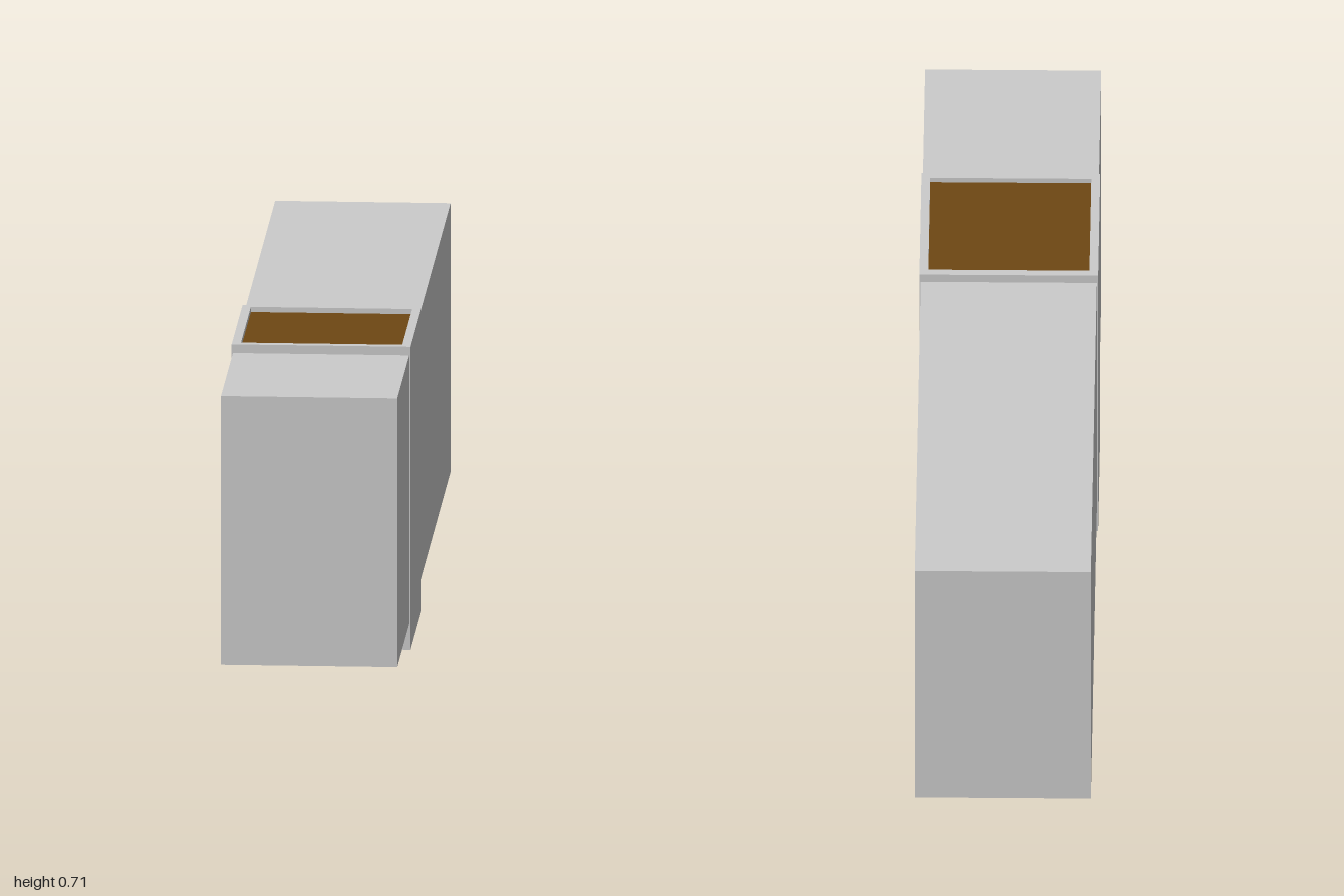
import * as THREE from 'three';

const grey = new THREE.MeshStandardMaterial({ color: 0xcccccc, flatShading: true });
const brown = new THREE.MeshStandardMaterial({ color: 0x6e4713, flatShading: true });

// Box standing on the height y
function box(name, width, height, depth, y, material) {
  const mesh = new THREE.Mesh(new THREE.BoxGeometry(width, height, depth), material);
  mesh.position.y = y + height / 2;
  mesh.name = name;
  return mesh;
}

function rectangle(PathType, width, depth) {
  const x = width / 2, y = depth / 2;
  return new PathType([[-x, -y], [x, -y], [x, y], [-x, y]].map(([a, b]) => new THREE.Vector2(a, b)));
}

export function createModel() {
  const model = new THREE.Group();
  const size = 0.406, height = 0.706, wall = 0.02, floor = 0.02;
  const inner = size - 2 * wall;

  // Long wall that runs through the planter
  model.add(box('wallBeam', 0.4, 0.626, 2, 0.06, grey));

  // Square planter: hollow sides, a floor and soil just below the rim
  const planter = new THREE.Group();
  planter.name = 'planter';
  planter.position.z = 0.356;

  const outline = rectangle(THREE.Shape, size, size);
  outline.holes.push(rectangle(THREE.Path, inner, inner));
  const sidesGeometry = new THREE.ExtrudeGeometry(outline, { depth: height, bevelEnabled: false });
  sidesGeometry.rotateX(-Math.PI / 2);
  const sides = new THREE.Mesh(sidesGeometry, grey);
  sides.name = 'planterSides';

  planter.add(
    sides,
    box('planterFloor', inner, floor, inner, 0, grey),
    box('soil', inner, 0.694 - floor, inner, floor, brown)
  );
  model.add(planter);
  return model;
}
